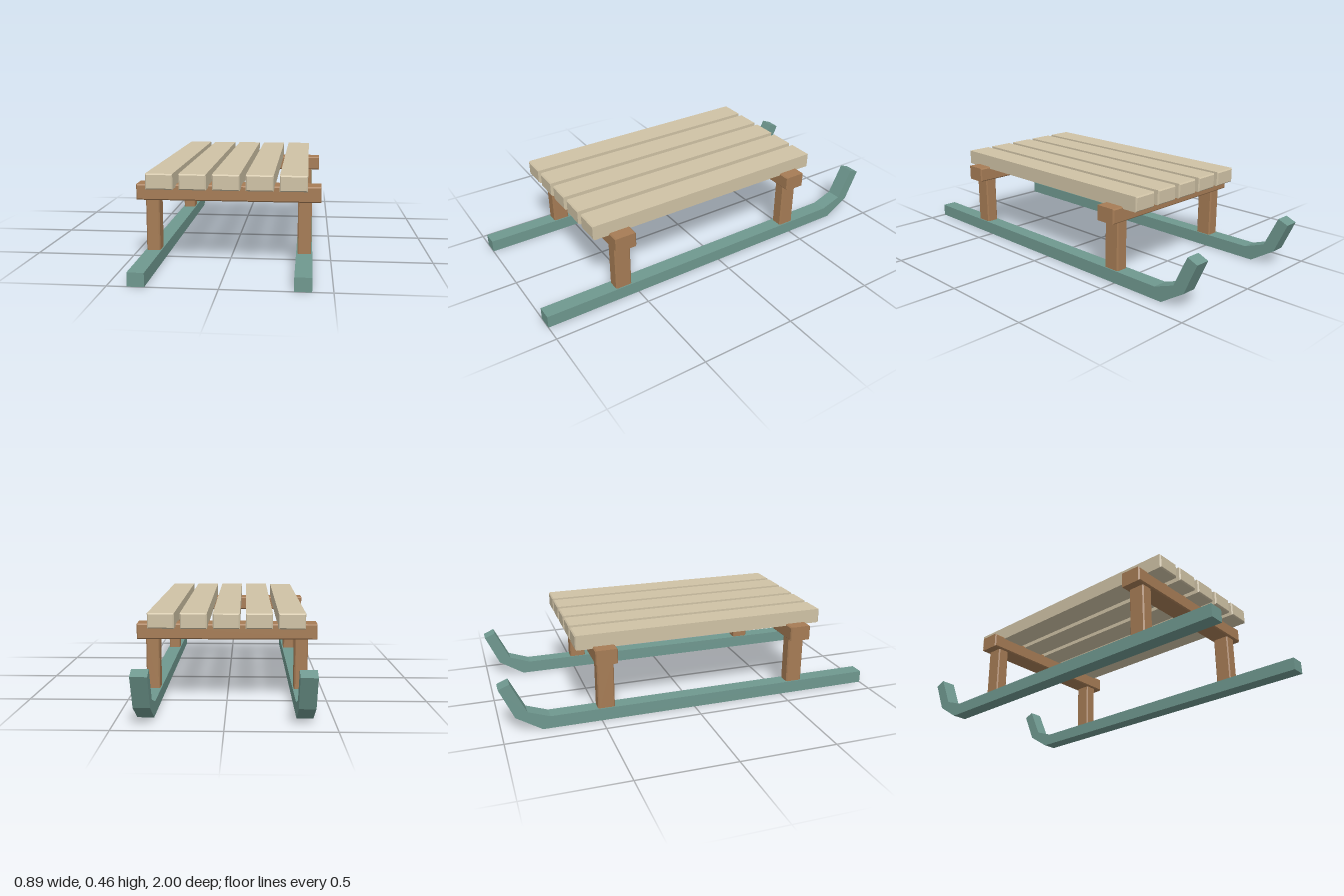
import * as THREE from 'three';

const slatMat = new THREE.MeshStandardMaterial({ color: 0xcfc2a5, flatShading: true });
const woodMat = new THREE.MeshStandardMaterial({ color: 0xa67c55, flatShading: true });
const runnerMat = new THREE.MeshStandardMaterial({ color: 0x6f988f, flatShading: true });

// Box with every edge chamfered by b, centred on its origin
function chamferBox(w, h, d, b) {
  const x = w / 2 - b, y = h / 2 - b;
  const shape = new THREE.Shape([[-x, -y], [x, -y], [x, y], [-x, y]].map(p => new THREE.Vector2(...p)));
  const geo = new THREE.ExtrudeGeometry(shape, {
    depth: d - 2 * b, bevelThickness: b, bevelSize: b, bevelSegments: 1,
  });
  return geo.translate(0, 0, b - d / 2);
}

// Runner side profile (z, y) with an upturned tip, extruded across x
function runnerGeometry(width) {
  const profile = [
    [1, 0], [1, 0.065], [-0.76, 0.065], [-0.87, 0.105],
    [-0.945, 0.263], [-1, 0.24], [-0.93, 0.082], [-0.8, 0],
  ];
  const shape = new THREE.Shape(profile.map(p => new THREE.Vector2(...p)));
  const geo = new THREE.ExtrudeGeometry(shape, { depth: width, bevelEnabled: false });
  return geo.translate(0, 0, -width / 2).rotateY(-Math.PI / 2);
}

export function createModel() {
  const sled = new THREE.Group();
  sled.name = 'sled';

  const add = (name, geo, mat, x, y, z) => {
    const mesh = new THREE.Mesh(geo, mat);
    mesh.name = name;
    mesh.position.set(x, y, z);
    sled.add(mesh);
  };

  // Runners
  const runner = runnerGeometry(0.078);
  add('leftRunner', runner, runnerMat, 0.368, 0, 0);
  add('rightRunner', runner, runnerMat, -0.368, 0, 0);

  // Crossbars, each on a pair of legs
  const bar = chamferBox(0.89, 0.077, 0.113, 0.006);
  const leg = chamferBox(0.066, 0.27, 0.087, 0.006);
  for (const [end, z] of [['front', 0.58], ['back', -0.473]]) {
    add(end + 'Crossbar', bar, woodMat, 0, 0.356, z);
    add(end + 'LeftLeg', leg, woodMat, 0.368, 0.193, z);
    add(end + 'RightLeg', leg, woodMat, -0.368, 0.193, z);
  }

  // Seat slats
  const slat = chamferBox(0.13, 0.076, 1.335, 0.006);
  for (let i = -2; i <= 2; i++) {
    add('seatSlat' + (i + 3), slat, slatMat, i * 0.158, 0.422, 0.052);
  }

  return sled;
}
